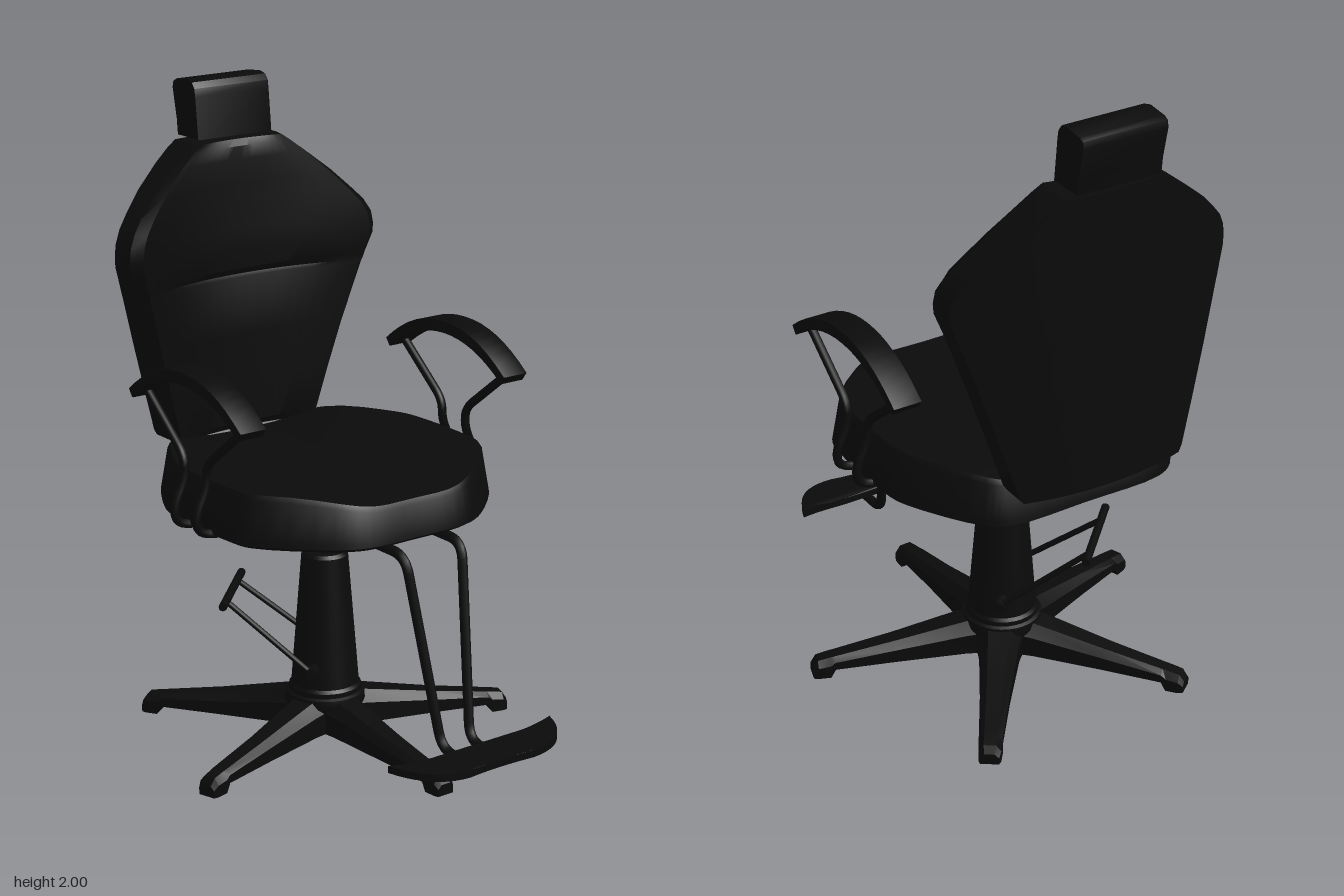
import * as THREE from 'three';
import { mergeVertices, toCreasedNormals } from 'three/addons/utils/BufferGeometryUtils.js';

const V = (p) => new THREE.Vector3(...p);
const black = new THREE.MeshStandardMaterial({ color: 0x0a0a0a });

function add(parent, name, geometry) {
  const mesh = new THREE.Mesh(geometry, black);
  mesh.name = name;
  parent.add(mesh);
  return mesh;
}

// Skin closed rings of [x, y, z] points and cap both ends
function loft(rings, crease = 0.6) {
  const n = rings[0].length, pos = rings.flat(2), idx = [];
  for (let r = 0; r < rings.length - 1; r++) {
    for (let i = 0; i < n; i++) {
      const a = r * n + i, b = r * n + (i + 1) % n;
      idx.push(a, b, b + n, a, b + n, a + n);
    }
  }
  [0, rings.length - 1].forEach((r) => {
    const c = pos.length / 3;
    for (let k = 0; k < 3; k++) pos.push(rings[r].reduce((s, p) => s + p[k], 0) / n);
    for (let i = 0; i < n; i++) {
      const a = r * n + i, b = r * n + (i + 1) % n;
      if (r === 0) idx.push(c, b, a); else idx.push(c, a, b);
    }
  });
  const g = new THREE.BufferGeometry();
  g.setAttribute('position', new THREE.Float32BufferAttribute(pos, 3));
  g.setIndex(idx);
  return toCreasedNormals(g, crease);
}

// Tube along a polyline with rounded corners
function bentTube(points, radius, bend = 0.05) {
  const p = points.map(V), path = new THREE.CurvePath();
  let last = p[0];
  for (let i = 1; i < p.length - 1; i++) {
    const toward = (q) => p[i].clone().lerp(q, Math.min(0.48, bend / p[i].distanceTo(q)));
    const a = toward(p[i - 1]), b = toward(p[i + 1]);
    path.add(new THREE.LineCurve3(last, a));
    path.add(new THREE.QuadraticBezierCurve3(a, p[i], b));
    last = b;
  }
  path.add(new THREE.LineCurve3(last, p[p.length - 1]));
  return new THREE.TubeGeometry(path, p.length > 2 ? 64 : 1, radius, 10);
}

// Side profile of [z, y] points extruded across x, centred on x = 0
function sideExtrude(points, width, bevel) {
  const shape = new THREE.Shape(points.map(([z, y]) => new THREE.Vector2(-z, y)));
  const g = new THREE.ExtrudeGeometry(shape, { depth: width - 2 * bevel, bevelThickness: bevel,
    bevelSize: bevel, bevelOffset: -bevel, bevelSegments: 2 });
  g.translate(0, 0, bevel - width / 2).rotateY(Math.PI / 2);
  return toCreasedNormals(g, 0.6);
}

function seatGeometry() {
  const half = [[0, 0.33], [0.18, 0.325], [0.27, 0.28], [0.45, 0.1], [0.47, 0.03],
    [0.47, -0.27], [0.45, -0.34], [0.32, -0.55], [0.25, -0.59], [0, -0.595]];
  const outline = [...half, ...half.slice(1, -1).reverse().map(([x, z]) => [-x, z])];
  const curve = new THREE.CatmullRomCurve3(outline.map(([x, z]) => V([x, 0, z])), true, 'centripetal');
  const pts = curve.getPoints(72).slice(0, -1), cz = -0.135;
  const edge = (x) => 0.885 + 0.037 * THREE.MathUtils.smoothstep(Math.abs(x), 0.1, 0.4);
  // [scale, height function]
  const levels = [[0.95, () => 0.76], [1, () => 0.775], [0.995, () => 0.79], [0.955, (x) => edge(x) - 0.015],
    [0.935, edge], [0.85, (x) => edge(x) + 0.002], [0.5, (x) => 0.45 + edge(x) / 2], [0.02, () => 0.9]];
  return loft(levels.map(([s, h]) => pts.map((p) => [p.x * s, h(p.x), cz + (p.z - cz) * s])));
}

function backrestGeometry() {
  // [height, half width, front padding]
  const rows = [[0.89, 0.265, -0.015], [0.91, 0.278, 0], [1.05, 0.32, 0], [1.2, 0.366, 0], [1.38, 0.422, 0],
    [1.39, 0.426, -0.004], [1.41, 0.432, 0.01], [1.47, 0.453, 0.012], [1.5, 0.455, 0.012], [1.54, 0.449, 0.01],
    [1.58, 0.427, 0.008], [1.62, 0.39, 0.006], [1.68, 0.33, 0.003], [1.75, 0.245, 0],
    [1.79, 0.192, -0.005], [1.81, 0.16, -0.02]];
  const N = 16;
  const back = (x) => -0.7 + 0.12 * Math.pow(Math.abs(x) / 0.455, 2.2);
  return loft(rows.map(([y, w, pad]) => {
    const ring = [];
    for (let i = 0; i <= N; i++) {
      const u = (i / N) * 2 - 1, x = u * w * 0.93;
      ring.push([x, y, back(x) + 0.14 + pad * (1 - u * u) - 0.012 * u * u]);
    }
    ring.push([w, y, back(w) + 0.085]);
    for (let i = 0; i <= N; i++) {
      const x = (1 - (i / N) * 2) * w;
      ring.push([x, y, back(x)]);
    }
    ring.push([-w, y, back(w) + 0.085]);
    return ring;
  }), 0.5);
}

function legGeometry() {
  // [distance from hub, half width, bottom, top]
  const sections = [[0.02, 0.085, 0.04, 0.16], [0.13, 0.062, 0.035, 0.135], [0.35, 0.045, 0.03, 0.095],
    [0.535, 0.036, 0.027, 0.066], [0.55, 0.036, 0, 0.064], [0.588, 0.034, 0, 0.057], [0.603, 0.028, 0, 0.035]];
  return loft(sections.map(([r, w, b, t]) => {
    const m = t - (t - b) * 0.35;
    return [[w, b, r], [w, m, r], [w * 0.55, t, r], [-w * 0.55, t, r], [-w, m, r], [-w, b, r]];
  }), 0.4);
}

function footPlateGeometry() {
  const shape = new THREE.Shape();
  shape.moveTo(-0.303, -0.575);
  shape.bezierCurveTo(-0.27, -0.68, -0.21, -0.72, -0.12, -0.72);
  shape.quadraticCurveTo(0, -0.7, 0.12, -0.72);
  shape.bezierCurveTo(0.21, -0.72, 0.27, -0.68, 0.303, -0.575);
  shape.quadraticCurveTo(0.25, -0.59, 0.15, -0.59);
  shape.lineTo(-0.15, -0.59);
  shape.quadraticCurveTo(-0.25, -0.59, -0.303, -0.575);
  const g = new THREE.ExtrudeGeometry(shape, { depth: 0.022, bevelEnabled: false, curveSegments: 10 });
  g.rotateX(-Math.PI / 2);
  const p = g.attributes.position;
  for (let i = 0; i < p.count; i++) p.setY(i, p.getY(i) + 0.178 + 0.014 * (p.getX(i) / 0.3) ** 2);
  g.deleteAttribute('normal');
  g.deleteAttribute('uv');
  return toCreasedNormals(mergeVertices(g), 0.5);
}

export function createModel() {
  const chair = new THREE.Group();
  chair.name = 'barberChair';
  const hubZ = -0.14;

  // Five-legged base with a tapered column
  const base = new THREE.Group();
  base.name = 'base';
  base.position.z = hubZ;
  chair.add(base);
  const leg = legGeometry();
  for (let i = 0; i < 5; i++) add(base, 'baseLeg', leg).rotation.y = (i * Math.PI * 2) / 5;
  const profile = [[0, 0.035], [0.1, 0.035], [0.125, 0.12], [0.122, 0.145], [0.112, 0.15], [0.112, 0.165],
    [0.105, 0.175], [0.072, 0.59], [0.062, 0.6], [0, 0.6]].map((p) => new THREE.Vector2(...p));
  add(base, 'column', toCreasedNormals(new THREE.LatheGeometry(profile, 32), 0.5));
  add(base, 'piston', new THREE.CylinderGeometry(0.027, 0.027, 0.14, 20)).position.y = 0.66;

  // Pump lever: two rods from the column sides to a diagonal bar
  const lever = new THREE.Group();
  lever.name = 'pumpLever';
  lever.position.z = hubZ;
  lever.rotation.y = Math.PI / 4;
  chair.add(lever);
  for (const s of [-1, 1]) {
    add(lever, 'leverRod', bentTube([[s * 0.13, 0.24, -0.02], [s * 0.095, 0.45, -0.29]], 0.009));
    const pivot = add(lever, 'leverPivot', new THREE.CylinderGeometry(0.02, 0.02, 0.05, 14));
    pivot.position.set(s * 0.12, 0.24, -0.02);
    pivot.rotation.z = Math.PI / 2;
  }
  const bar = add(lever, 'leverBar', new THREE.CylinderGeometry(0.013, 0.013, 0.32, 12));
  bar.position.set(0, 0.455, -0.29);
  bar.rotation.z = Math.PI / 2;

  // Seat, mount, backrest and headrest
  add(chair, 'seatMount', new THREE.BoxGeometry(0.18, 0.05, 0.42)).position.set(0, 0.735, -0.05);
  add(chair, 'seat', seatGeometry());
  add(chair, 'backrest', backrestGeometry());
  const head = [[-0.585, 1.82], [-0.7, 1.82], [-0.705, 1.87], [-0.725, 1.965], [-0.72, 1.985], [-0.705, 1.993],
    [-0.64, 2], [-0.615, 1.993], [-0.602, 1.975], [-0.598, 1.95]];
  add(chair, 'headrest', sideExtrude(head, 0.275, 0.006)).position.x = -0.007;

  // Curved armrests on bent tubes that run under the seat
  const arc = [];
  for (let i = 0; i <= 16; i++) arc.push((i / 16) * 2 - 1);
  const pad = [...arc.map((u) => [-0.112 + 0.293 * u, 1.262 - 0.115 * Math.abs(u) ** 2.1]),
    ...arc.slice().reverse().map((u) => [-0.112 + 0.275 * u, 1.222 - 0.1 * Math.abs(u) ** 2.1])];
  const padGeometry = sideExtrude(pad, 0.092, 0.005);
  for (const s of [-1, 1]) {
    const arm = new THREE.Group();
    arm.name = s > 0 ? 'leftArmrest' : 'rightArmrest';
    chair.add(arm);
    add(arm, 'armPad', padGeometry).position.x = s * 0.483;
    for (const [topZ, z] of [[0.145, -0.06], [-0.37, -0.174]]) {
      add(arm, 'armTube', bentTube([[s * 0.485, 1.145, topZ], [s * 0.485, 0.985, z], [s * 0.485, 0.92, z],
        [s * 0.527, 0.835, z], [s * 0.515, 0.78, z], [s * 0.3, 0.746, z], [s * 0.08, 0.742, z]], 0.0135, 0.045));
    }
    // Footrest tube
    add(chair, 'footrestTube', bentTube([[s * 0.105, 0.755, 0.1], [s * 0.105, 0.755, 0.395],
      [s * 0.052, 0.175, 0.508], [s * 0.052, 0.177, 0.66]], 0.0155, 0.055));
  }
  add(chair, 'footPlate', footPlateGeometry());
  return chair;
}
